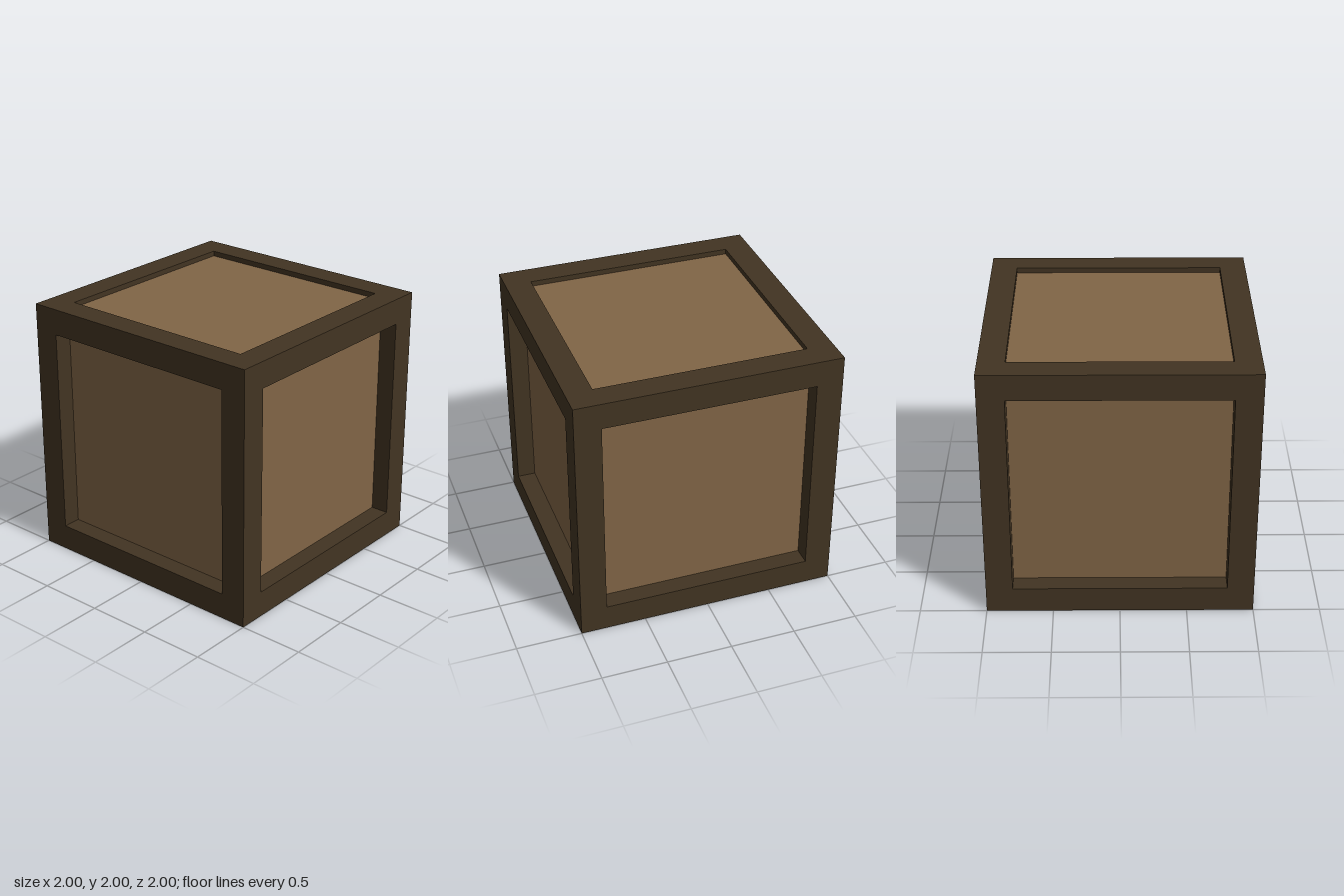
import * as THREE from 'three';

const SIZE = 2, BEAM = 0.2, INNER = SIZE - 2 * BEAM, OFF = (SIZE - BEAM) / 2;

export function createModel() {
  const crate = new THREE.Group();
  crate.name = 'crate';
  const darkWood = new THREE.MeshStandardMaterial({ name: 'darkWood', color: 0x423422 });
  const lightWood = new THREE.MeshStandardMaterial({ name: 'lightWood', color: 0x816546 });

  const box = (name, material, size, position) => {
    const mesh = new THREE.Mesh(new THREE.BoxGeometry(...size), material);
    mesh.name = name;
    mesh.position.set(...position);
    crate.add(mesh);
  };

  // Frame: full-height corner posts with rails fitted between them
  for (const a of [-1, 1]) {
    for (const b of [-1, 1]) {
      const y = 1 + b * OFF;
      box('cornerPost', darkWood, [BEAM, SIZE, BEAM], [a * OFF, 1, b * OFF]);
      box('widthRail', darkWood, [INNER, BEAM, BEAM], [0, y, a * OFF]);
      box('depthRail', darkWood, [BEAM, BEAM, INNER], [a * OFF, y, 0]);
    }
  }

  // Recessed panels: shallow at the top, deeper at the sides and bottom
  const T = 0.04, SIDE = 0.86, TOP = 1.96, BOTTOM = 0.16;
  for (const s of [-1, 1]) {
    const p = s * (SIDE - T / 2);
    box(s > 0 ? 'frontPanel' : 'backPanel', lightWood, [INNER, INNER, T], [0, 1, p]);
    box(s > 0 ? 'leftPanel' : 'rightPanel', lightWood, [T, INNER, INNER], [p, 1, 0]);
  }
  box('topPanel', lightWood, [INNER, T, INNER], [0, TOP - T / 2, 0]);
  box('bottomPanel', lightWood, [INNER, T, INNER], [0, BOTTOM + T / 2, 0]);

  return crate;
}
